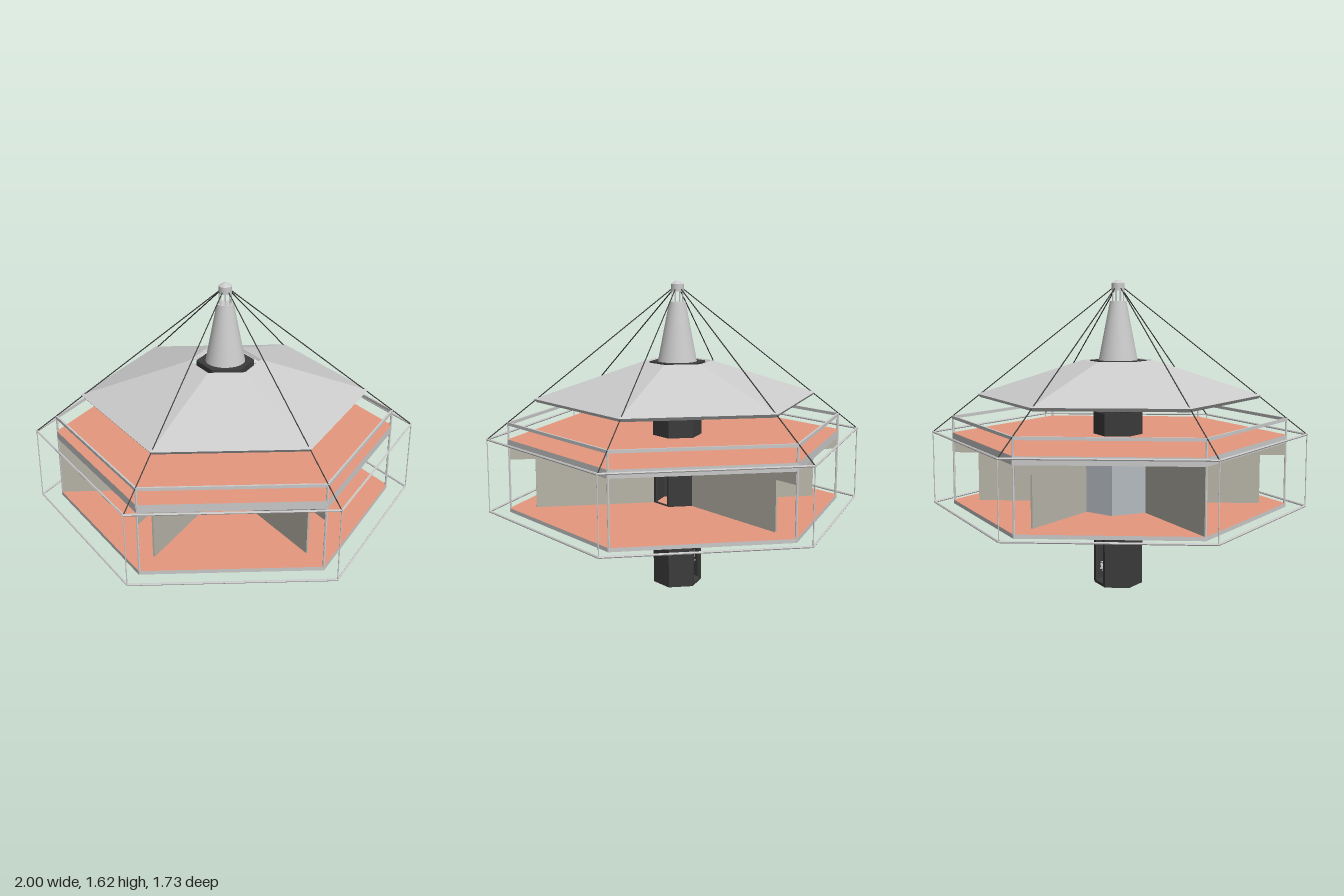
import * as THREE from 'three';

const mat = (color) => new THREE.MeshStandardMaterial({ color, flatShading: true, side: THREE.DoubleSide });
const grey = mat(0xcccccc);
const salmon = mat(0xe6987f);
const dark = mat(0x3c3c3c);
const beige = mat(0xb9b6aa);
const blueGrey = mat(0xb4babf);
const smoothGrey = new THREE.MeshStandardMaterial({ color: 0xcccccc });
const STEP = Math.PI / 3;

// Corner k of a hexagon with corners on the x axis
const corner = (r, y, k) => new THREE.Vector3(r * Math.cos(k * STEP), y, r * Math.sin(k * STEP));

function add(parent, name, geometry, material) {
  const m = new THREE.Mesh(geometry, material);
  m.name = name;
  parent.add(m);
  return m;
}

// Straight round bar between two points
function rod(parent, name, a, b, r, material = grey) {
  const m = add(parent, name, new THREE.CylinderGeometry(r, r, a.distanceTo(b), 6), material);
  m.position.copy(a).add(b).multiplyScalar(0.5);
  m.quaternion.setFromUnitVectors(new THREE.Vector3(0, 1, 0), b.clone().sub(a).normalize());
  return m;
}

// Hexagonal shell from a closed [radius, y] outline
function hexLathe(parent, name, pts, material) {
  const profile = pts.map(([r, y]) => new THREE.Vector2(r, y));
  return add(parent, name, new THREE.LatheGeometry(profile, 6, Math.PI / 6), material);
}

function hexSlab(parent, name, r, y0, y1, materials) {
  const g = new THREE.CylinderGeometry(r, r, y1 - y0, 6, 1, false, Math.PI / 6);
  add(parent, name, g, materials).position.y = (y0 + y1) / 2;
}

// Upright panel cut from a 2D outline, with optional hole
function panel(points, depth, hole) {
  const shape = new THREE.Shape(points.map(([x, y]) => new THREE.Vector2(x, y)));
  if (hole) shape.holes.push(new THREE.Path(hole.map(([x, y]) => new THREE.Vector2(x, y))));
  return new THREE.ExtrudeGeometry(shape, { depth, bevelEnabled: false }).translate(0, 0, -depth / 2);
}

const rect = (x0, y0, x1, y1) => [[x0, y0], [x1, y0], [x1, y1], [x0, y1]];

function buildMast() {
  const mast = new THREE.Group();
  mast.name = 'mast';
  // Six side panels; two have door openings
  for (let k = 0; k < 6; k++) {
    let hole = null;
    if (k === 1) hole = rect(-0.042, 0.45, 0.05, 0.67);
    if (k === 3) hole = rect(-0.042, 0.015, 0.042, 0.25);
    const g = panel(rect(-0.065, 0, 0.065, 0.93), 0.012, hole).translate(0, 0, 0.1066);
    add(mast, 'mastPanel', g, dark).rotation.y = k * STEP;
  }
  hexSlab(mast, 'mastBase', 0.128, 0, 0.012, dark);
  hexSlab(mast, 'mastLid', 0.128, 0.915, 0.93, dark);
  // Spiral stair inside
  for (let i = 0; i < 30; i++) {
    const g = new THREE.BoxGeometry(0.09, 0.008, 0.045).translate(0.05, 0, 0);
    const s = add(mast, 'stairStep', g, grey);
    s.position.y = 0.03 + i * 0.022;
    s.rotation.y = i * 0.4;
  }
  // Slatted vent that flares below the cap
  hexSlab(mast, 'ventCore', 0.1, 0.93, 1.19, dark);
  for (let k = 0; k < 6; k++) {
    const a = corner(1, 0, k), b = corner(1, 0, k + 1);
    for (let i = 0; i < 9; i++) {
      const d = a.clone().lerp(b, i / 9);
      const at = (r, y) => d.clone().multiplyScalar(r).setY(y);
      rod(mast, 'ventSlat', at(0.112, 0.925), at(0.13, 1.0), 0.004, dark);
      rod(mast, 'ventSlat', at(0.13, 1.0), at(0.136, 1.17), 0.004, dark);
    }
  }
  hexSlab(mast, 'ventCap', 0.148, 1.16, 1.203, dark);
  return mast;
}

function buildRooms() {
  const rooms = new THREE.Group();
  rooms.name = 'rooms';
  // Radial walls; four have a passage at the outer end, the +x one is left open
  const notched = [[0.125, 0.445], [0.75, 0.445], [0.75, 0.705], [0.88, 0.705], [0.88, 0.77], [0.125, 0.77]];
  for (let k = 1; k < 6; k++) {
    const outline = k === 3 ? rect(0.125, 0.445, 0.885, 0.77) : notched;
    add(rooms, 'radialWall', panel(outline, 0.01), beige).rotation.y = k * STEP;
  }
  // Small washroom in the back corner beside the mast
  const pts = [[-0.31, 0], [-0.3, -0.19], [-0.15, -0.26]];
  for (let i = 0; i < 2; i++) {
    const [[x0, z0], [x1, z1]] = [pts[i], pts[i + 1]];
    const g = new THREE.BoxGeometry(Math.hypot(x1 - x0, z1 - z0), 0.325, 0.008);
    const w = add(rooms, 'washroomWall', g, blueGrey);
    w.position.set((x0 + x1) / 2, 0.6075, (z0 + z1) / 2);
    w.rotation.y = -Math.atan2(z1 - z0, x1 - x0);
  }
  return rooms;
}

export function createModel() {
  const model = new THREE.Group();
  model.name = 'hexagonalMastHouse';
  model.add(buildMast(), buildRooms());

  // Floor and deck: coloured faces with grey edges
  hexSlab(model, 'floor', 0.89, 0.425, 0.445, [grey, salmon, salmon]);
  hexSlab(model, 'deck', 0.89, 0.77, 0.812, [grey, salmon, salmon]);
  hexLathe(model, 'deckRail', [[0.89, 0.886], [0.89, 0.902], [0.878, 0.902], [0.878, 0.886], [0.89, 0.886]], grey);

  // Roof shell, open around the mast
  hexLathe(model, 'roof', [[0.735, 1.003], [0.75, 1.02], [0.185, 1.203], [0.175, 1.19], [0.72, 1.006], [0.735, 1.003]], grey);

  // Posts, outer frame and rigging
  const apex = new THREE.Vector3(0, 1.6, 0);
  for (let k = 0; k < 6; k++) {
    rod(model, 'cornerPost', corner(0.884, 0.425, k), corner(0.884, 0.9, k), 0.006);
    rod(model, 'outerPost', corner(0.994, 0.43, k), corner(0.994, 0.815, k), 0.003);
    rod(model, 'stayCable', apex, corner(0.994, 0.815, k), 0.003, dark);
    for (const y of [0.432, 0.815]) rod(model, 'outerRail', corner(0.994, y, k), corner(0.994, y, k + 1), 0.006);
  }

  // Mast head: tapering cowl, thin bars and cap
  add(model, 'cowl', new THREE.CylinderGeometry(0.043, 0.103, 0.31, 24), smoothGrey).position.y = 1.355;
  for (let k = 0; k < 8; k++) {
    const a = (k * Math.PI) / 4;
    const p = new THREE.Vector3(0.03 * Math.cos(a), 1.5, 0.03 * Math.sin(a));
    rod(model, 'headBar', p, p.clone().setY(1.57), 0.003);
  }
  add(model, 'headCap', new THREE.CylinderGeometry(0.034, 0.034, 0.038, 16), smoothGrey).position.y = 1.583;
  add(model, 'headTip', new THREE.CylinderGeometry(0.01, 0.034, 0.016, 16), smoothGrey).position.y = 1.61;
  return model;
}
